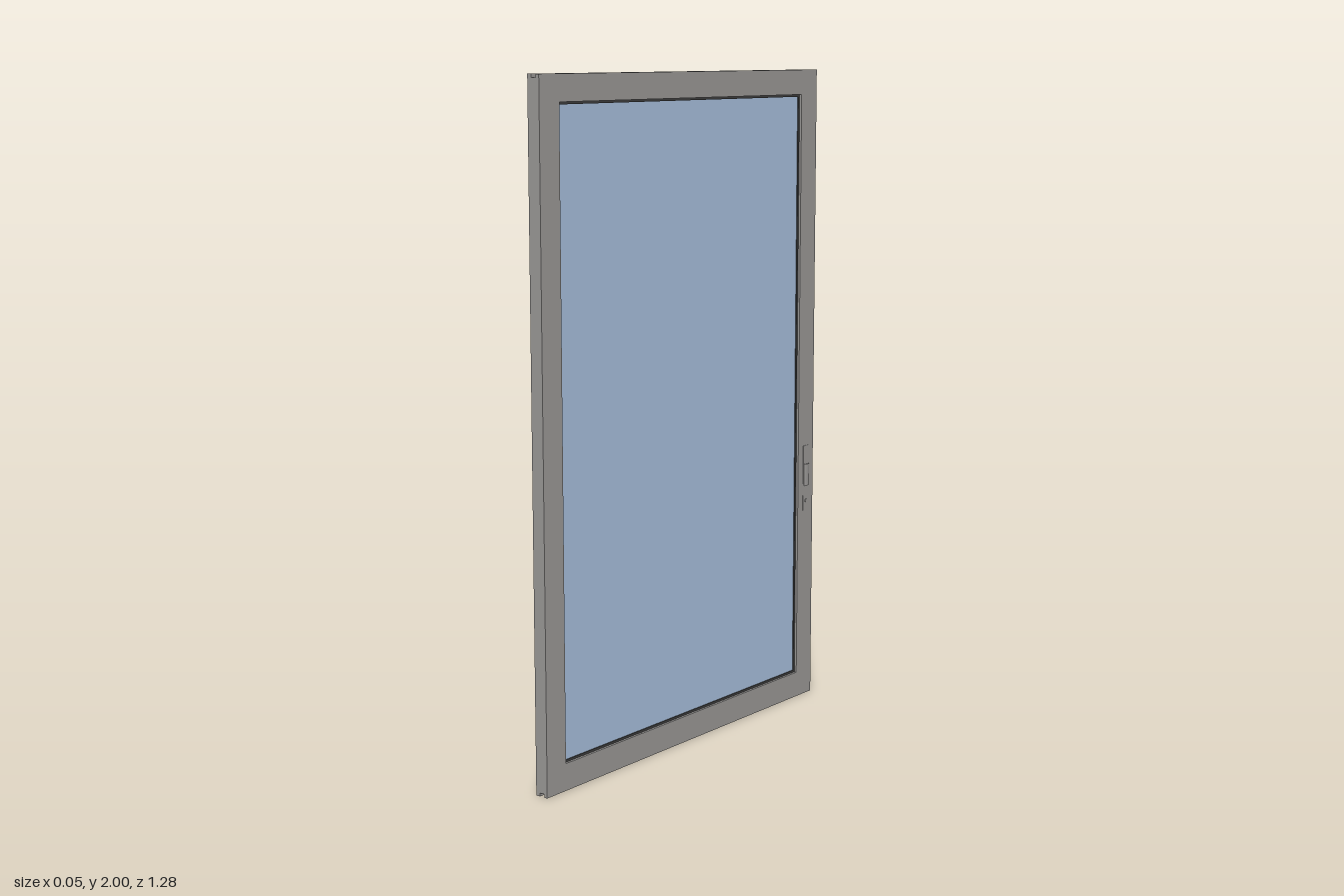
import * as THREE from 'three';

const mat = (color) => new THREE.MeshStandardMaterial({ color });

export function createModel() {
  const group = new THREE.Group();
  const frameMat = mat(0x999795), glassMat = mat(0xa7bedb), sealMat = mat(0x3c3c3c);

  const add = (name, geometry, material) => {
    const mesh = new THREE.Mesh(geometry, material);
    mesh.name = name;
    group.add(mesh);
    return mesh;
  };
  const box = (name, material, x0, x1, y0, y1, z0, z1) => {
    const mesh = add(name, new THREE.BoxGeometry(x1 - x0, y1 - y0, z1 - z0), material);
    mesh.position.set((x0 + x1) / 2, (y0 + y1) / 2, (z0 + z1) / 2);
    return mesh;
  };

  const X0 = -0.0235, X1 = 0.0175;   // the two faces of the panel
  const W = 0.64, H = 2;             // half width, height
  const OZ = 0.56, OY0 = 0.08, OY1 = 1.925; // opening

  // Stiles at both sides, as tall as the rails between the grooves
  for (const s of [1, -1]) {
    const zs = [s * OZ, s * W].sort((a, b) => a - b);
    box('stile', frameMat, X0, X1, 0.01, H - 0.01, zs[0], zs[1]);
  }
  // Rails at top and bottom
  box('bottomRail', frameMat, X0, X1, 0.01, OY0, -OZ, OZ);
  box('topRail', frameMat, X0, X1, OY1, H - 0.01, -OZ, OZ);

  // Lips either side of the guide grooves along the top and bottom edges
  for (const [a, b] of [[X0, -0.0095], [0.0065, X1]]) {
    box('topGrooveLip', frameMat, a, b, H - 0.01, H, -W, W);
    box('bottomGrooveLip', frameMat, a, b, 0, 0.01, -W, W);
  }

  // Dark seal around the glass
  const ring = new THREE.Shape();
  const rect = (path, z, y0, y1) => path.moveTo(-z, y0).lineTo(z, y0).lineTo(z, y1).lineTo(-z, y1).closePath();
  rect(ring, OZ, OY0, OY1);
  const hole = new THREE.Path();
  rect(hole, OZ - 0.007, OY0 + 0.007, OY1 - 0.007);
  ring.holes.push(hole);
  const seal = add('glassSeal', new THREE.ExtrudeGeometry(ring, { depth: 0.026, bevelEnabled: false }), sealMat);
  seal.rotation.y = Math.PI / 2;
  seal.position.x = -0.016;

  // Glass pane
  box('glass', glassMat, -0.013, 0.007, OY0 + 0.004, OY1 - 0.004, -OZ + 0.004, OZ - 0.004);

  // Handle plate, rounded grip and lock button
  box('handlePlate', frameMat, X1 - 0.001, X1 + 0.0015, 0.61, 0.82, -0.617, -0.587);
  const grip = new THREE.CylinderGeometry(1, 1, 0.07, 20);
  grip.scale(0.005, 1, 0.013);
  add('handleGrip', grip, frameMat).position.set(0.0185, 0.725, -0.603);
  const lock = add('lockButton', new THREE.CylinderGeometry(0.006, 0.006, 0.003, 16), frameMat);
  lock.rotation.z = Math.PI / 2;
  lock.position.set(0.0195, 0.64, -0.602);

  return group;
}
